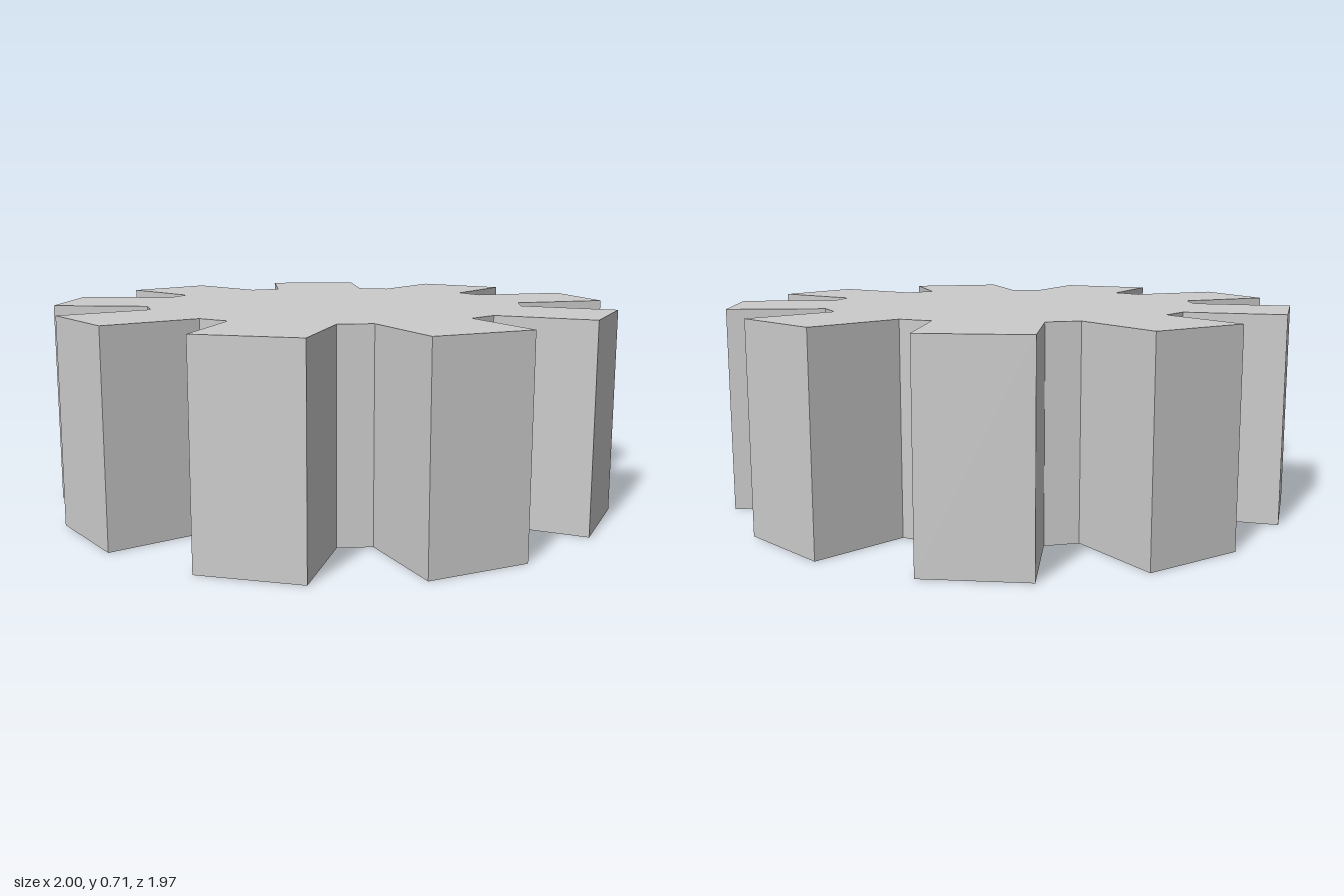
import * as THREE from 'three';

const TEETH = 9, HEIGHT = 0.706;
const TIP = 0.985;        // radius to the flat tooth tip
const HALF = 0.174;       // half width of a tooth
const FLOOR = 0.668;      // radius to the flat floor of each gap
const HOLE = 0.36;        // corner radius of the opening underneath
const STEP = (Math.PI * 2) / TEETH;

// Point given along (u) and across (v) the tooth numbered i
function toothPoint(i, u, v) {
  return new THREE.Vector2(u, v).rotateAround(new THREE.Vector2(), Math.PI / 2 + i * STEP);
}

// Closed counter-clockwise outline whose teeth start at distance root
function outline(root) {
  const points = [];
  for (let i = 0; i < TEETH; i++) {
    points.push(toothPoint(i, root, -HALF), toothPoint(i, TIP, -HALF),
      toothPoint(i, TIP, HALF), toothPoint(i, root, HALF));
  }
  return points;
}

// Upright faces following an outline
function wallGeometry(points) {
  const pos = [];
  points.forEach((a, i) => {
    const b = points[(i + 1) % points.length];
    const corner = (p, y) => [p.x, y, -p.y];
    pos.push(...corner(a, 0), ...corner(b, 0), ...corner(b, HEIGHT),
      ...corner(a, 0), ...corner(b, HEIGHT), ...corner(a, HEIGHT));
  });
  const geo = new THREE.BufferGeometry();
  geo.setAttribute('position', new THREE.Float32BufferAttribute(pos, 3));
  geo.computeVertexNormals();
  return geo;
}

export function createModel() {
  const group = new THREE.Group();
  group.name = 'gear';
  const material = new THREE.MeshStandardMaterial({
    color: 0xcccccc, flatShading: true, side: THREE.DoubleSide,
  });
  const add = (name, geo) => {
    const mesh = new THREE.Mesh(geo, material);
    mesh.name = name;
    group.add(mesh);
  };

  const floorRoot = (FLOOR - HALF * Math.sin(STEP / 2)) / Math.cos(STEP / 2);
  const body = outline(floorRoot);

  // Hollow shell: tooth sides, tips and gap floors
  add('toothedWall', wallGeometry(body));

  // Closed top
  add('topPlate', new THREE.ShapeGeometry(new THREE.Shape(body))
    .rotateX(-Math.PI / 2).translate(0, HEIGHT, 0));

  // Bottom ring: neighbouring teeth meet in sharp notches inside the gap floors
  const notchRoot = HALF / Math.tan(STEP / 2);
  const ring = new THREE.Shape(
    outline(notchRoot).filter((p, i) => i % 4 !== 3)); // shared notch corner kept once
  const hole = [];
  for (let i = 0; i < TEETH; i++) {
    hole.push(new THREE.Vector2(HOLE, 0)
      .rotateAround(new THREE.Vector2(), Math.PI / 2 - (i + 0.5) * STEP));
  }
  ring.holes.push(new THREE.Path(hole));
  add('bottomRing', new THREE.ShapeGeometry(ring).rotateX(Math.PI / 2).rotateY(Math.PI));

  return group;
}
